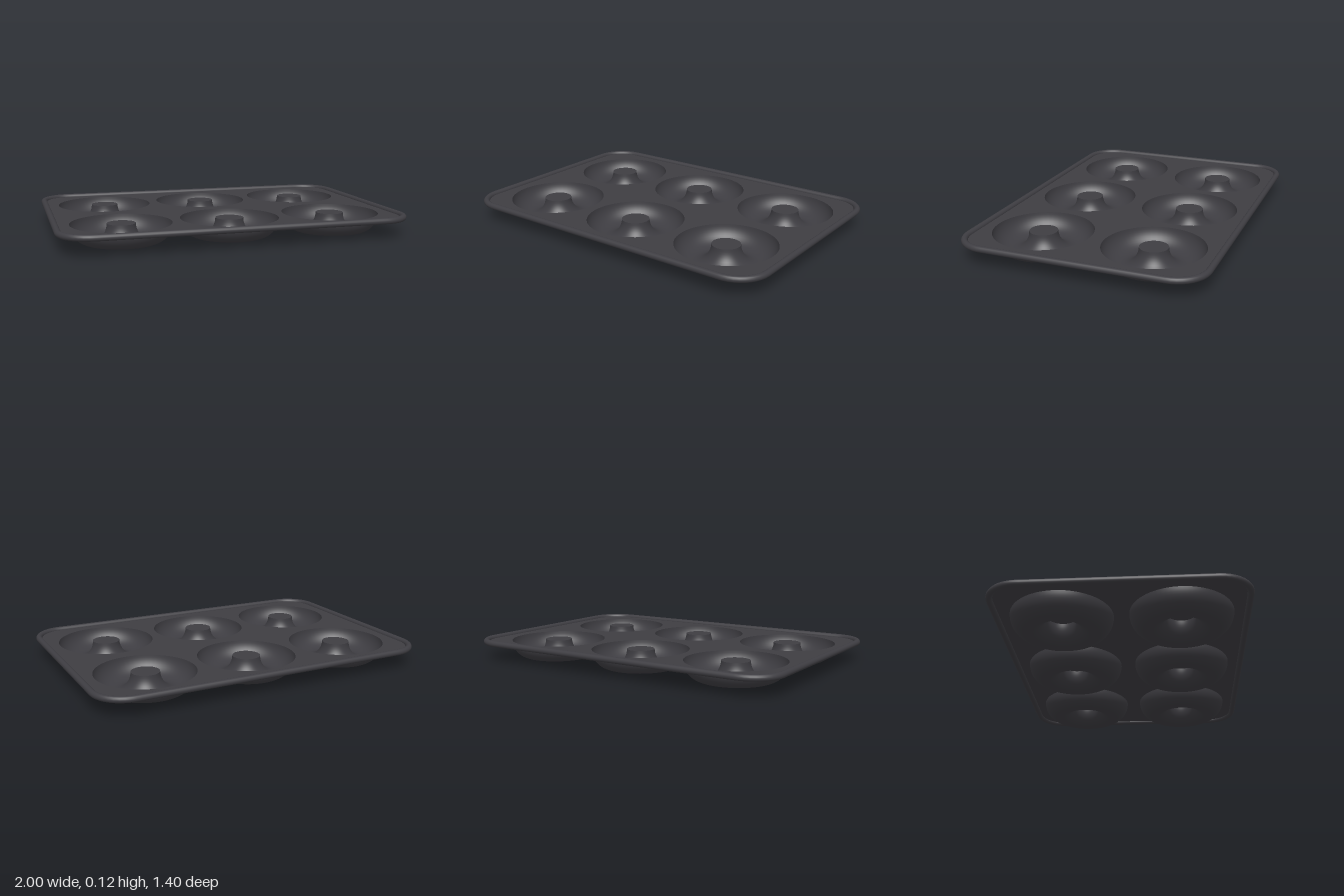
import * as THREE from 'three';

const SHEET_Y = 0.107, RIM_R = 0.018;
const CUP_R = 0.283, POST_R = 0.08;
const HALF_X = 1 - RIM_R, HALF_Z = 0.7 - RIM_R, CORNER = 0.17;

// Rounded rectangle centred on the origin
function panOutline() {
  const s = new THREE.Shape();
  const x = HALF_X - CORNER, y = HALF_Z - CORNER;
  s.moveTo(-x, -HALF_Z);
  s.lineTo(x, -HALF_Z);
  s.absarc(x, -y, CORNER, -Math.PI / 2, 0);
  s.lineTo(HALF_X, y);
  s.absarc(x, y, CORNER, 0, Math.PI / 2);
  s.lineTo(-x, HALF_Z);
  s.absarc(-x, y, CORNER, Math.PI / 2, Math.PI);
  s.lineTo(-HALF_X, -y);
  s.absarc(-x, -y, CORNER, Math.PI, Math.PI * 1.5);
  return s;
}

export function createModel() {
  const group = new THREE.Group();
  const metal = new THREE.MeshStandardMaterial({ color: 0x3e3d42, side: THREE.DoubleSide });
  metal.name = 'darkMetal';

  const add = (name, geometry, x = 0, z = 0) => {
    const mesh = new THREE.Mesh(geometry, metal);
    mesh.name = name;
    mesh.position.set(x, SHEET_Y, z);
    group.add(mesh);
  };

  const centres = [];
  for (const x of [-0.622, 0, 0.622]) for (const z of [-0.325, 0.325]) centres.push([x, z]);

  // Flat sheet with a round opening for each cup
  const sheet = panOutline();
  for (const [x, z] of centres) {
    sheet.holes.push(new THREE.Path().absarc(x, -z, CUP_R, 0, Math.PI * 2, true));
  }
  add('sheet', new THREE.ShapeGeometry(sheet, 32).rotateX(-Math.PI / 2));

  // Rolled rim around the edge
  const path = panOutline().getSpacedPoints(240).slice(0, -1)
    .map((p) => new THREE.Vector3(p.x, 0, -p.y));
  const curve = new THREE.CatmullRomCurve3(path, true);
  add('rolledRim', new THREE.TubeGeometry(curve, 240, RIM_R, 16, true));

  // Ring-shaped cups: a half-round trough swept about a central post
  const mid = (CUP_R + POST_R) / 2, half = (CUP_R - POST_R) / 2;
  const profile = [];
  for (let i = 0; i <= 24; i++) {
    const a = (i / 24) * Math.PI;
    profile.push(new THREE.Vector2(mid + half * Math.cos(a), -SHEET_Y * Math.sin(a)));
  }
  const cup = new THREE.LatheGeometry(profile, 64);
  const postTop = new THREE.CircleGeometry(POST_R, 64).rotateX(-Math.PI / 2);
  for (const [x, z] of centres) {
    add('ringCup', cup, x, z);
    add('postTop', postTop, x, z);
  }
  return group;
}
